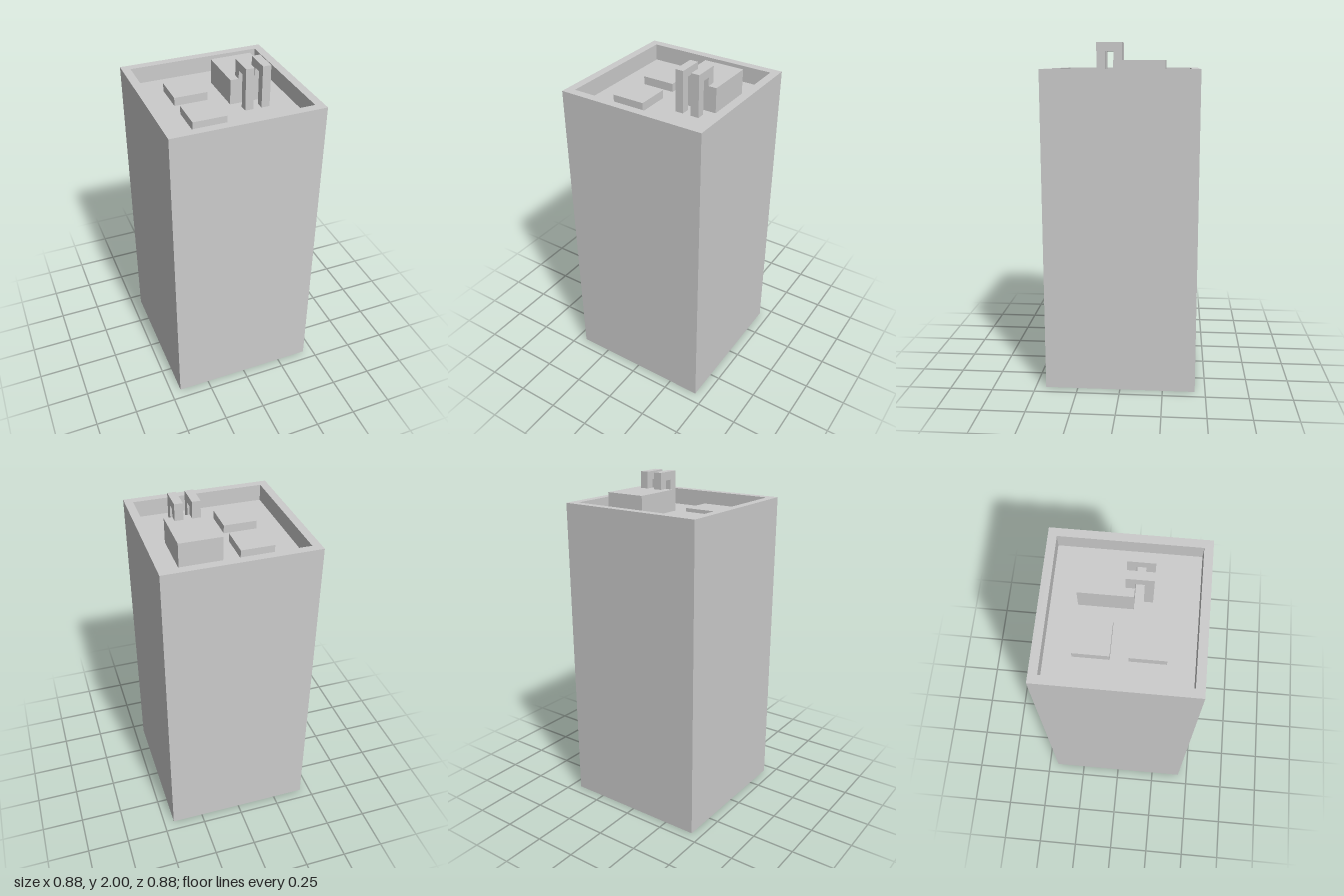
import * as THREE from 'three';

const U = 2 / 41; // modelling unit: the tower is 41 units tall in total
const FLOOR = 36; // roof deck level, in units

export function createModel() {
  const model = new THREE.Group();
  model.name = 'towerBlock';
  const material = new THREE.MeshStandardMaterial({ color: 0xcccccc, flatShading: true });

  const add = (name, geometry) => {
    const mesh = new THREE.Mesh(geometry, material);
    mesh.name = name;
    model.add(mesh);
    return mesh;
  };

  // Square tower with a raised parapet around a sunken roof, as a four-sided lathe
  const corner = Math.SQRT2;
  const profile = [[0, 0], [9, 0], [9, 38], [8, 38], [8, FLOOR], [0, FLOOR]]
    .map(([r, y]) => new THREE.Vector2(r * corner * U, y * U));
  add('towerBody', new THREE.LatheGeometry(profile, 4, Math.PI / 4));

  // Boxes standing on the roof deck
  const roofBox = (name, x0, x1, z0, z1, height) => {
    const box = new THREE.BoxGeometry((x1 - x0) * U, height * U, (z1 - z0) * U);
    add(name, box).position.set((x0 + x1) / 2 * U, (FLOOR + height / 2) * U, (z0 + z1) / 2 * U);
  };
  roofBox('rearRoofHatch', -5, -1, -5, -1, 1);
  roofBox('frontRoofHatch', -5, -1, 1, 5, 1);
  roofBox('ventUnit', 1, 6, -5, 1, 3);

  // Hooked ducts: up from the deck, over, and down onto the vent unit
  const hook = new THREE.Shape([
    [0, 39], [1, 39], [1, 40], [2, 40], [2, FLOOR], [3, FLOOR], [3, 41], [0, 41],
  ].map(([z, y]) => new THREE.Vector2(z * U, y * U)));
  const duct = new THREE.ExtrudeGeometry(hook, { depth: U, bevelEnabled: false });
  duct.translate(0, 0, -U / 2).rotateY(-Math.PI / 2);
  for (const [name, x] of [['innerDuct', 2.5], ['outerDuct', 4.5]]) {
    add(name, duct).position.x = x * U;
  }

  return model;
}
